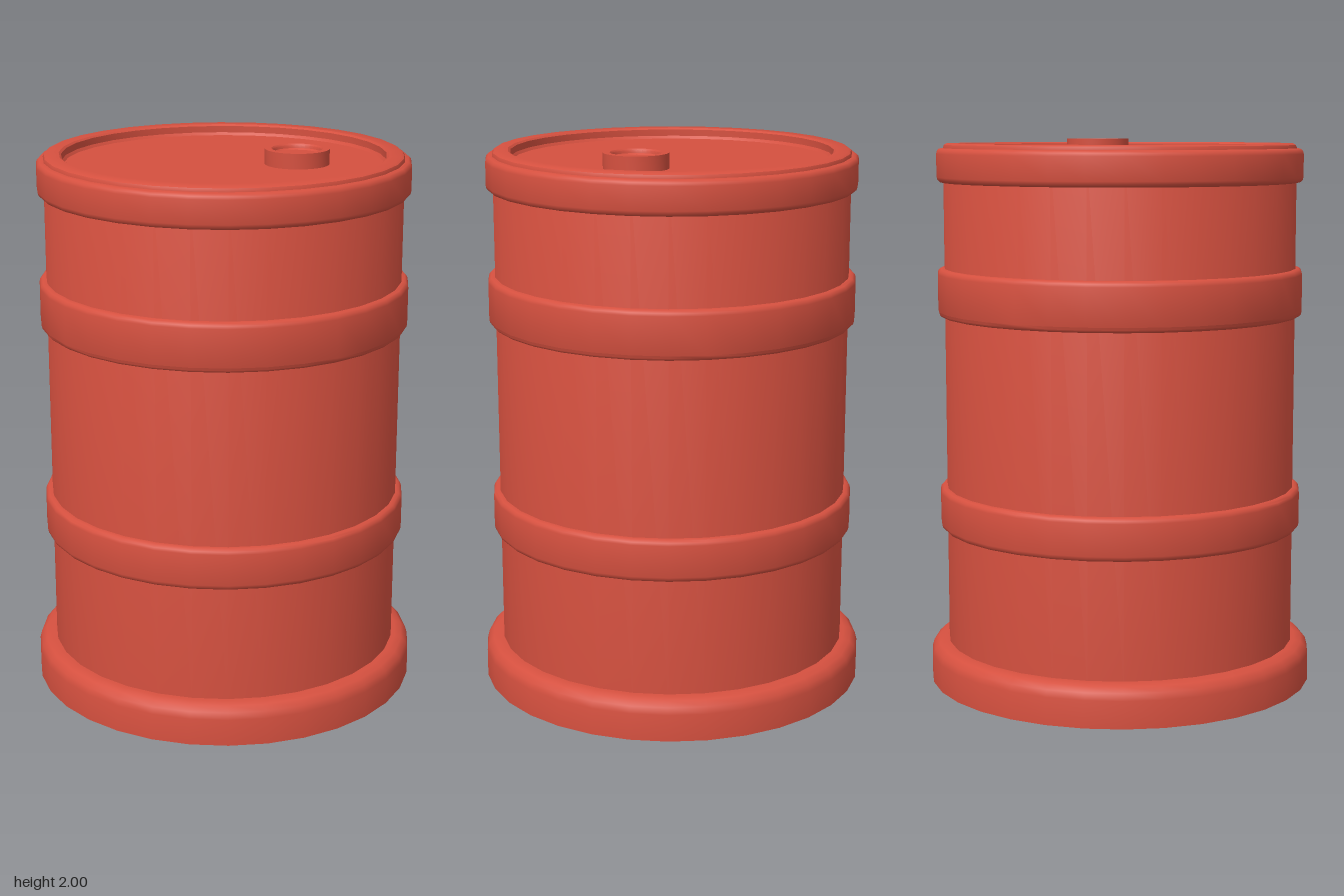
import * as THREE from 'three';
import { toCreasedNormals } from 'three/addons/utils/BufferGeometryUtils.js';

const SEGMENTS = 32;

export function createModel() {
  const model = new THREE.Group();
  model.name = 'barrel';
  const red = new THREE.MeshStandardMaterial({ color: 0xd5503f });
  red.name = 'red paint';

  // Revolve a profile of [radius, y] pairs, listed from bottom to top on the outside.
  function turned(name, profile) {
    const points = profile.map(([r, y]) => new THREE.Vector2(r, y));
    const geometry = toCreasedNormals(new THREE.LatheGeometry(points, SEGMENTS), 0.6);
    const mesh = new THREE.Mesh(geometry, red);
    mesh.name = name;
    model.add(mesh);
    return mesh;
  }

  // Rounded corner: quarter arc from the outer wall in to the top (or out from the bottom).
  function corner(r, y, size, top) {
    return [0, 1, 2, 3].map((i) => {
      const a = (top ? i / 3 : i / 3 - 1) * Math.PI / 2;
      return [r - size + size * Math.cos(a), y + (top ? -size : size) + size * Math.sin(a)];
    });
  }

  // Drum wall, rim lip and sunken lid
  turned('drumBody', [
    [0.645, 0.1], [0.645, 1.97], [0.641, 1.98], [0.632, 1.985],
    [0.588, 1.985], [0.58, 1.979], [0.58, 1.955], [0.572, 1.945], [0, 1.945],
  ]);

  // Wide foot with a closed underside
  turned('base', [[0, 0], [0.71, 0], ...corner(0.71, 0.15, 0.05, true), [0.64, 0.15]]);

  // Raised hoops around the wall
  const hoops = [['lowerHoop', 0.575, 0.73], ['upperHoop', 1.36, 1.535], ['topHoop', 1.845, 1.968]];
  for (const [name, bottom, top] of hoops) {
    turned(name, [
      [0.635, bottom], ...corner(0.67, bottom, 0.02, false),
      ...corner(0.67, top, 0.02, true), [0.635, top],
    ]);
  }

  // Filler cap with a shallow dished top
  const cap = turned('fillerCap', [
    [0.116, 1.94], [0.116, 2], [0.092, 2], [0.087, 1.995], [0.085, 1.985], [0.078, 1.98], [0, 1.98],
  ]);
  cap.position.set(0.163, 0, -0.203);

  return model;
}
